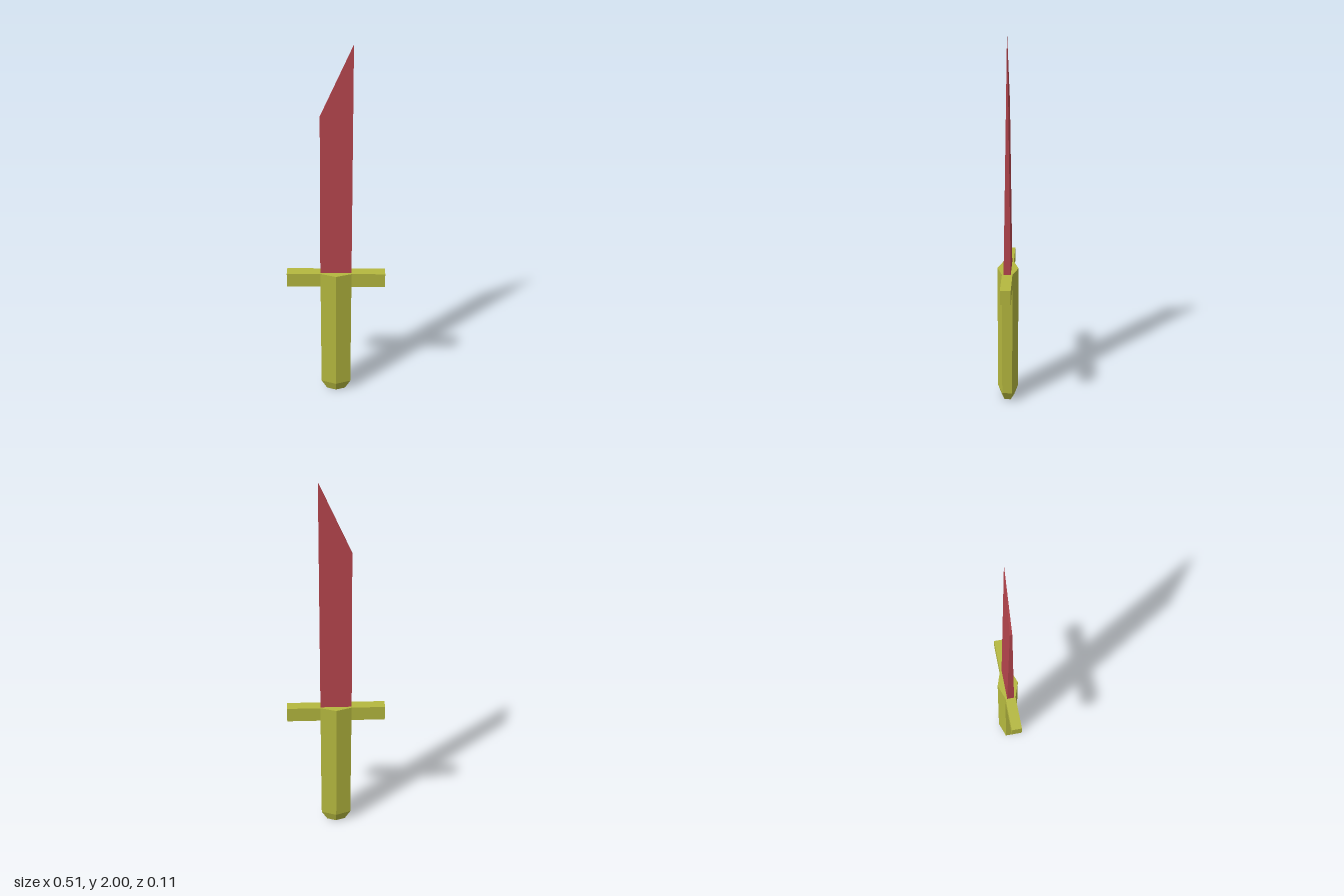
import * as THREE from 'three';

const gold = new THREE.MeshStandardMaterial({ color: 0xb5b83f, flatShading: true });
const red = new THREE.MeshStandardMaterial({ color: 0xb8464e, flatShading: true });

// Skins convex rings of [x, y, z] corners from bottom to top and caps both ends.
function loft(rings) {
  const pos = [];
  const tri = (a, b, c) => pos.push(...a, ...b, ...c);
  const n = rings[0].length;
  for (let r = 0; r < rings.length - 1; r++) {
    const lower = rings[r], upper = rings[r + 1];
    for (let i = 0; i < n; i++) {
      const j = (i + 1) % n;
      tri(lower[i], lower[j], upper[j]);
      tri(lower[i], upper[j], upper[i]);
    }
  }
  const bottom = rings[0], top = rings[rings.length - 1];
  for (let i = 1; i < n - 1; i++) {
    tri(bottom[0], bottom[i + 1], bottom[i]);
    tri(top[0], top[i], top[i + 1]);
  }
  const geometry = new THREE.BufferGeometry();
  geometry.setAttribute('position', new THREE.Float32BufferAttribute(pos, 3));
  geometry.computeVertexNormals();
  return geometry;
}

export function createModel() {
  const group = new THREE.Group();
  const add = (name, geometry, material) => {
    const mesh = new THREE.Mesh(geometry, material);
    mesh.name = name;
    group.add(mesh);
    return mesh;
  };

  const halfWidth = 0.081, guardDepth = 0.027, guardTop = 0.78;

  // Six-sided grip with a tapered pommel
  const hexRing = (y, s) => [
    [halfWidth, guardDepth], [halfWidth, -guardDepth], [0, -0.055],
    [-halfWidth, -guardDepth], [-halfWidth, guardDepth], [0, 0.055],
  ].map(([x, z]) => [x * s, y, z * s]);
  add('handle', loft([hexRing(0, 0.62), hexRing(0.06, 1), hexRing(guardTop, 1)]), gold);

  // Crossguard arms, one on each side of the grip
  const armLength = 0.257 - halfWidth;
  for (const side of [1, -1]) {
    const arm = add(side > 0 ? 'leftGuard' : 'rightGuard',
      new THREE.BoxGeometry(armLength, 0.08, guardDepth * 2), gold);
    arm.position.set(side * (halfWidth + armLength / 2), guardTop - 0.04, 0);
  }

  // Blade thins steadily towards its slanted tip
  const thickness = (y) => 0.018 * (2.0 - y) / (2.0 - guardTop) + 0.0005;
  const bladeRing = (xl, yl, xr, yr) => [
    [xr, yr, thickness(yr)], [xr, yr, -thickness(yr)],
    [xl, yl, -thickness(yl)], [xl, yl, thickness(yl)],
  ];
  add('blade', loft([
    bladeRing(-0.082, guardTop, 0.081, guardTop),
    bladeRing(-0.077, 1.65, 0.081, 2.0),
  ]), red);

  return group;
}
